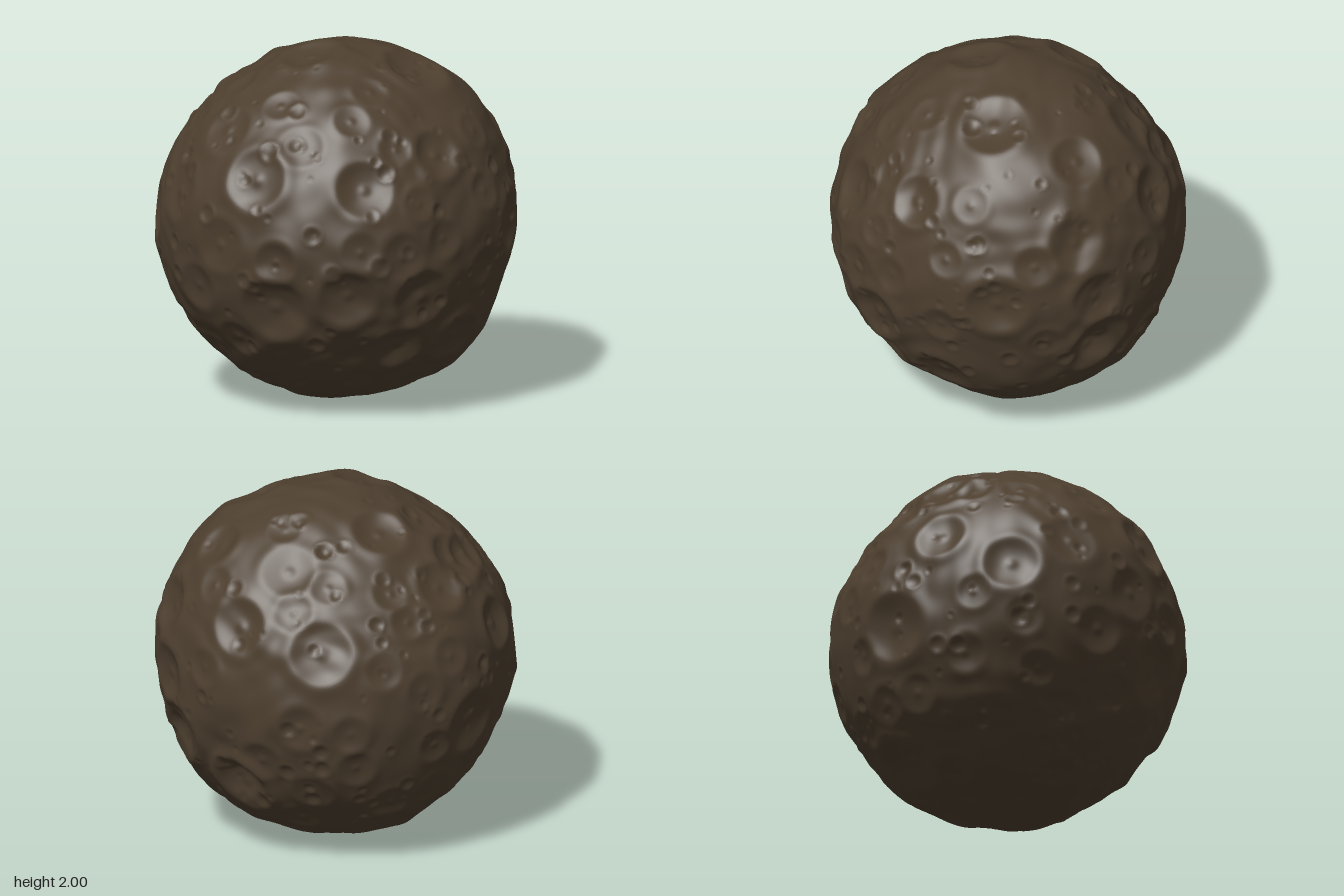
import * as THREE from 'three';
import { mergeVertices } from 'three/addons/utils/BufferGeometryUtils.js';

const ROCK = new THREE.MeshStandardMaterial({ color: 0x4d3f2f });
ROCK.name = 'dark brown rock';
const X = new THREE.Vector3(1, 0, 0), Y = new THREE.Vector3(0, 1, 0), Z = new THREE.Vector3(0, 0, 1);

function seeded(seed) {
  return () => (seed = (seed * 16807) % 2147483647) / 2147483647;
}

// Outline radii at even steps around a great circle, from axis a towards axis b
function outline(a, b, radii) {
  return radii.map((height, i) => {
    const t = i / radii.length * Math.PI * 2;
    const dir = new THREE.Vector3().addScaledVector(a, Math.cos(t)).addScaledVector(b, Math.sin(t));
    return { dir, height };
  });
}

// Uneven overall shape of the rock
const SWELLS = [
  ...outline(X, Y, [1, 1.005, 1.02, .985, .985, .935, .96, .98, 1, .99, .99, 1, 1, 1.02, 1.045, .98]),
  ...outline(Z, Y, [.985, .92, .945, .955, .985, .975, .935, .94, .985, 1.015, 1.035, 1.02, 1, 1, .98, .975]),
  ...outline(X, Z, [1, .965, .985, .93, .985, .945, .965, .97, 1, .97, .97, .98, .985, 1, .97, .99]),
];

// Smooth blend of the outlines, settling to the mean radius between them
function swellHeight(p) {
  let weight = .04, sum = .04 * .975;
  for (const { dir, height } of SWELLS) {
    const w = Math.exp((p.dot(dir) - 1) / .05);
    weight += w;
    sum += w * height;
  }
  return sum / weight;
}

// Main craters on the side that a turn and tilt face: [right, up, radius]
function facingCraters(turn, tilt, spots) {
  const facing = new THREE.Euler(-tilt, turn, 0, 'YXZ');
  return spots.map(([u, v, radius]) => ({
    dir: new THREE.Vector3(u, v, Math.sqrt(1 - u * u - v * v)).applyEuler(facing),
    radius, depth: .2,
  }));
}

// Craters scattered by rule, keeping clear of those already placed
function scatter(craters, count, minRadius, maxRadius, clearance, depth, rnd) {
  for (let i = 0; i < count; i++) {
    const y = 2 * rnd() - 1, a = rnd() * Math.PI * 2, s = Math.sqrt(1 - y * y);
    const dir = new THREE.Vector3(s * Math.cos(a), y, s * Math.sin(a));
    const radius = minRadius + (maxRadius - minRadius) * rnd() ** 2;
    if (craters.every(c => c.dir.angleTo(dir) > clearance * (c.radius + radius))) {
      craters.push({ dir, radius, depth });
    }
  }
}

function makeCraters() {
  const craters = [
    // Front
    ...facingCraters(0, 0, [
      [-.12, .36, .17], [.37, .51, .15], [-.62, -.07, .12], [-.23, -.27, .17], [-.6, -.36, .2],
      [.22, -.3, .18], [.12, -.6, .15], [.49, -.6, .16], [.87, 0, .18], [-.68, .39, .18]]),
    // Left side
    ...facingCraters(Math.PI / 2, 0, [
      [-.03, .34, .16], [.09, .71, .14], [.07, -.01, .16], [.13, -.33, .17], [.55, .39, .16], [.47, -.57, .17]]),
    // Top
    ...facingCraters(0, Math.PI / 2, [
      [-.11, .49, .16], [-.56, .5, .17], [-.18, -.09, .17], [.38, -.27, .19]]),
    // Upper back
    ...facingCraters(-Math.PI * .75, Math.PI / 6, [
      [-.21, .1, .15], [.2, .19, .13], [.13, -.24, .15], [-.18, -.67, .2], [.53, -.38, .16]]),
    // Lower back
    ...facingCraters(Math.PI * .75, -Math.PI / 6, [
      [-.6, 0, .15], [-.17, -.04, .15], [-.06, -.53, .17], [.46, -.53, .18], [.37, .7, .18]]),
  ];
  const rnd = seeded(4711);
  scatter(craters, 300, .1, .16, .95, .11, rnd); // shallow craters in the gaps
  scatter(craters, 260, .02, .055, 0, .2, rnd); // small pits everywhere
  return craters;
}

// Height across a crater: bowl, raised rim fading outwards, central peak in large ones
function craterHeight(t, radius, depth) {
  if (t > 1.8) return 0;
  const bowl = t < 1 ? -depth * (1 - t * t) ** 1.3 : 0;
  const rim = .3 * depth * Math.exp(-(((t - 1.08) / .28) ** 2));
  const peak = radius > .09 ? .06 * Math.exp(-((t / .2) ** 2)) : 0;
  return radius * (bowl + rim + peak);
}

// Fine uneven lumps
function lumps({ x, y, z }) {
  const a = x + .15 * Math.sin(6 * y + 1), b = y + .15 * Math.sin(7 * z), c = z + .15 * Math.sin(6 * x + 2);
  return .0035 * (Math.sin(11 * a + 7 * c) + Math.sin(12 * b - 6 * a) + Math.sin(12 * c + 8 * b))
    + .0015 * (Math.sin(29 * a - 13 * b) + Math.sin(31 * b + 12 * c) + Math.sin(30 * c - 14 * a));
}

function makeSurface() {
  let geometry = new THREE.IcosahedronGeometry(1, 80);
  geometry.deleteAttribute('uv');
  geometry.deleteAttribute('normal');
  geometry = mergeVertices(geometry, 1e-5);
  const craters = makeCraters(), pos = geometry.attributes.position, p = new THREE.Vector3();
  for (let i = 0; i < pos.count; i++) {
    p.fromBufferAttribute(pos, i).normalize();
    let r = swellHeight(p) + lumps(p);
    for (const { dir, radius, depth } of craters) {
      const d = p.dot(dir);
      if (d > .9) r += craterHeight(Math.acos(Math.min(1, d)) / radius, radius, depth);
    }
    p.multiplyScalar(r);
    pos.setXYZ(i, p.x, p.y, p.z);
  }
  geometry.computeVertexNormals();
  // Centre the ball and stand it on the ground
  geometry.center();
  geometry.computeBoundingBox();
  geometry.translate(0, -geometry.boundingBox.min.y, 0);
  return geometry;
}

export function createModel() {
  const ball = new THREE.Mesh(makeSurface(), ROCK);
  ball.name = 'crateredSurface';
  const model = new THREE.Group();
  model.name = 'crateredMoon';
  model.add(ball);
  return model;
}
